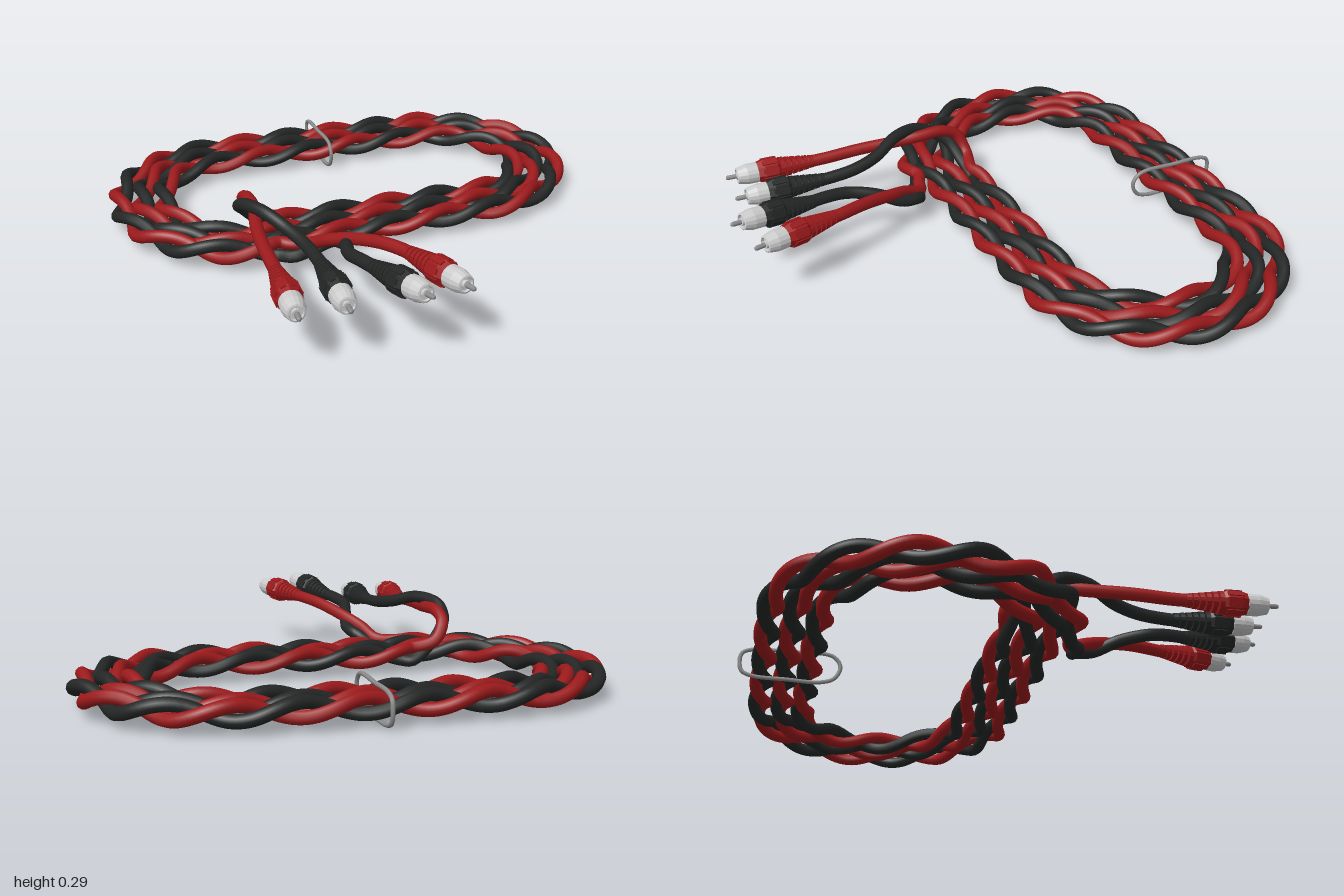
import * as THREE from 'three';

const V = (x, y, z) => new THREE.Vector3(x, y, z);
const mat = (color, flatShading = false) =>
  new THREE.MeshStandardMaterial({ color, flatShading, side: THREE.DoubleSide });
const RED = 0x9c1a1c, BLACK = 0x242626, WHITE = 0xdedede, METAL = 0x8c8c8c;

const HALF = 0.43, MID_Z = -0.405, CABLE_Y = 0.068;
const TWIST = 0.42, SPREAD = 0.025, WIRE_R = 0.024;

// Centre line of the coil: three stadium laps that widen on the front left quarter
function coilCentre() {
  const pts = [];
  const arc = (cx, from, r0, r1) => {
    for (let i = 0; i <= 32; i++) {
      const a = from + (Math.PI * i) / 32;
      const r = r0 + (r1 - r0) * THREE.MathUtils.smoothstep(i, 14, 32);
      pts.push(V(cx + r * Math.sin(a), CABLE_Y, MID_Z + r * Math.cos(a)));
    }
  };
  for (let lap = 0; lap < 3; lap++) {
    const r = 0.325 + lap * 0.085;
    arc(HALF, 0, r, r);
    arc(-HALF, Math.PI, r, r + (lap < 2 ? 0.085 : 0.06));
  }
  return [V(-0.38, CABLE_Y, MID_Z + 0.325), ...pts];
}

// One strand winding round the centre line
function strand(phase) {
  const curve = new THREE.CatmullRomCurve3(coilCentre());
  curve.arcLengthDivisions = 2000;
  const length = curve.getLength(), n = Math.round(length / 0.035);
  const pts = [];
  for (let i = 0; i <= n; i++) {
    const p = curve.getPointAt(i / n), t = curve.getTangentAt(i / n);
    const a = (2 * Math.PI * ((i / n) * length - (length - 1.6))) / TWIST + phase;
    const out = SPREAD * Math.cos(a);
    pts.push(V(p.x - t.z * out, p.y + SPREAD * Math.sin(a), p.z + t.x * out));
  }
  return pts;
}

function wire(name, color, points) {
  const curve = new THREE.CatmullRomCurve3(points);
  curve.arcLengthDivisions = 3000;
  const mesh = new THREE.Mesh(new THREE.TubeGeometry(curve, 900, WIRE_R, 10), mat(color));
  mesh.name = name;
  return mesh;
}

// Plug built along +z, with its cable end at base
function plug(name, color, base, tip) {
  const g = new THREE.Group();
  g.name = name;
  const turned = (part, profile, sides, material) => {
    const geo = new THREE.LatheGeometry(profile.map(([r, z]) => new THREE.Vector2(r, z)), sides);
    geo.rotateX(Math.PI / 2);
    const mesh = new THREE.Mesh(geo, material);
    mesh.name = part;
    g.add(mesh);
    return mesh;
  };
  const grip = mat(color, true), shell = mat(WHITE, true), metal = mat(METAL);
  turned('reliefCore', [[0, 0], [0.02, 0], [0.024, 0.15], [0, 0.15]], 12, grip);
  for (let i = 0; i < 6; i++) {
    const z = i * 0.024, r = 0.025 + i * 0.0032;
    turned('reliefRing', [[0, z], [r, z], [r + 0.002, z + 0.017], [0, z + 0.017]], 16, grip);
  }
  turned('grip', [[0, 0.137], [0.04, 0.137], [0.049, 0.15], [0.049, 0.2], [0.041, 0.228], [0, 0.228]], 8, grip);
  // Raised ribs around the grip
  for (let i = 0; i < 8; i++) {
    const a = ((i + 0.5) * Math.PI) / 4;
    const rib = new THREE.Mesh(new THREE.BoxGeometry(0.02, 0.008, 0.06), grip);
    rib.name = 'gripRib';
    rib.position.set(Math.cos(a) * 0.045, Math.sin(a) * 0.045, 0.178);
    rib.rotation.z = a - Math.PI / 2;
    g.add(rib);
  }
  turned('shell', [[0.036, 0.225], [0.041, 0.228], [0.041, 0.27], [0.032, 0.308], [0.026, 0.31],
    [0.024, 0.3], [0, 0.3]], 16, shell);
  turned('pinSleeve', [[0.015, 0.298], [0.015, 0.312], [0, 0.312]], 12, shell);
  turned('pin', [[0.009, 0.3], [0.009, 0.345], [0.006, 0.352], [0, 0.352]], 10, metal);
  g.position.copy(base);
  g.lookAt(tip);
  return g;
}

export function createModel() {
  const model = new THREE.Group();
  model.name = 'twistedCable';

  // Cable ends of the inner lap (first) and of the outer lap (last)
  const ends = {
    red: {
      color: RED, phase: Math.PI,
      first: [[-0.557, 0.205, 0.58], [-0.553, 0.205, 0.5], [-0.548, 0.21, 0.35], [-0.53, 0.215, 0.2],
        [-0.51, 0.225, 0.1], [-0.51, 0.225, 0], [-0.51, 0.19, -0.07], [-0.47, 0.12, -0.095]],
      last: [[-0.39, 0.085, 0.16], [-0.32, 0.09, 0.185], [-0.28, 0.13, 0.26], [-0.23, 0.165, 0.34],
        [-0.16, 0.205, 0.48], [-0.11, 0.22, 0.6], [-0.1, 0.221, 0.64]],
      plugs: [[V(-0.555, 0.205, 0.55), V(-0.575, 0.21, 0.9)], [V(-0.105, 0.222, 0.617), V(-0.015, 0.238, 0.95)]],
    },
    black: {
      color: BLACK, phase: 0,
      first: [[-0.4, 0.205, 0.59], [-0.4, 0.205, 0.53], [-0.41, 0.21, 0.42], [-0.44, 0.225, 0.32],
        [-0.5, 0.255, 0.21], [-0.545, 0.245, 0.1], [-0.55, 0.21, 0.03], [-0.52, 0.165, -0.035], [-0.46, 0.1, -0.065]],
      last: [[-0.39, 0.05, 0.195], [-0.31, 0.07, 0.195], [-0.25, 0.105, 0.225], [-0.23, 0.125, 0.3],
        [-0.255, 0.17, 0.4], [-0.28, 0.195, 0.51], [-0.265, 0.21, 0.6], [-0.245, 0.217, 0.68]],
      plugs: [[V(-0.4, 0.205, 0.56), V(-0.41, 0.21, 0.91)], [V(-0.25, 0.215, 0.655), V(-0.168, 0.26, 1)]],
    },
  };
  for (const [key, e] of Object.entries(ends)) {
    const pts = [...e.first.map((p) => V(...p)), ...strand(e.phase), ...e.last.map((p) => V(...p))];
    model.add(wire(key + 'Wire', e.color, pts));
    e.plugs.forEach(([base, tip], i) => model.add(plug(key + 'Plug' + (i + 1), e.color, base, tip)));
  }

  // Thin tie holding the three laps together at the back
  const tiePath = new THREE.CatmullRomCurve3(
    [[0.12, -0.65], [0.122, -0.82], [0.117, -0.95], [0.1, -0.985], [0.06, -0.992], [0.025, -0.98],
      [0.01, -0.94], [0.008, -0.82], [0.009, -0.69], [0.03, -0.64], [0.08, -0.62]].map(([y, z]) => V(0.02, y, z)), true);
  const tie = new THREE.Mesh(new THREE.TubeGeometry(tiePath, 90, 0.008, 8, true), mat(METAL));
  tie.name = 'tie';
  model.add(tie);
  return model;
}
